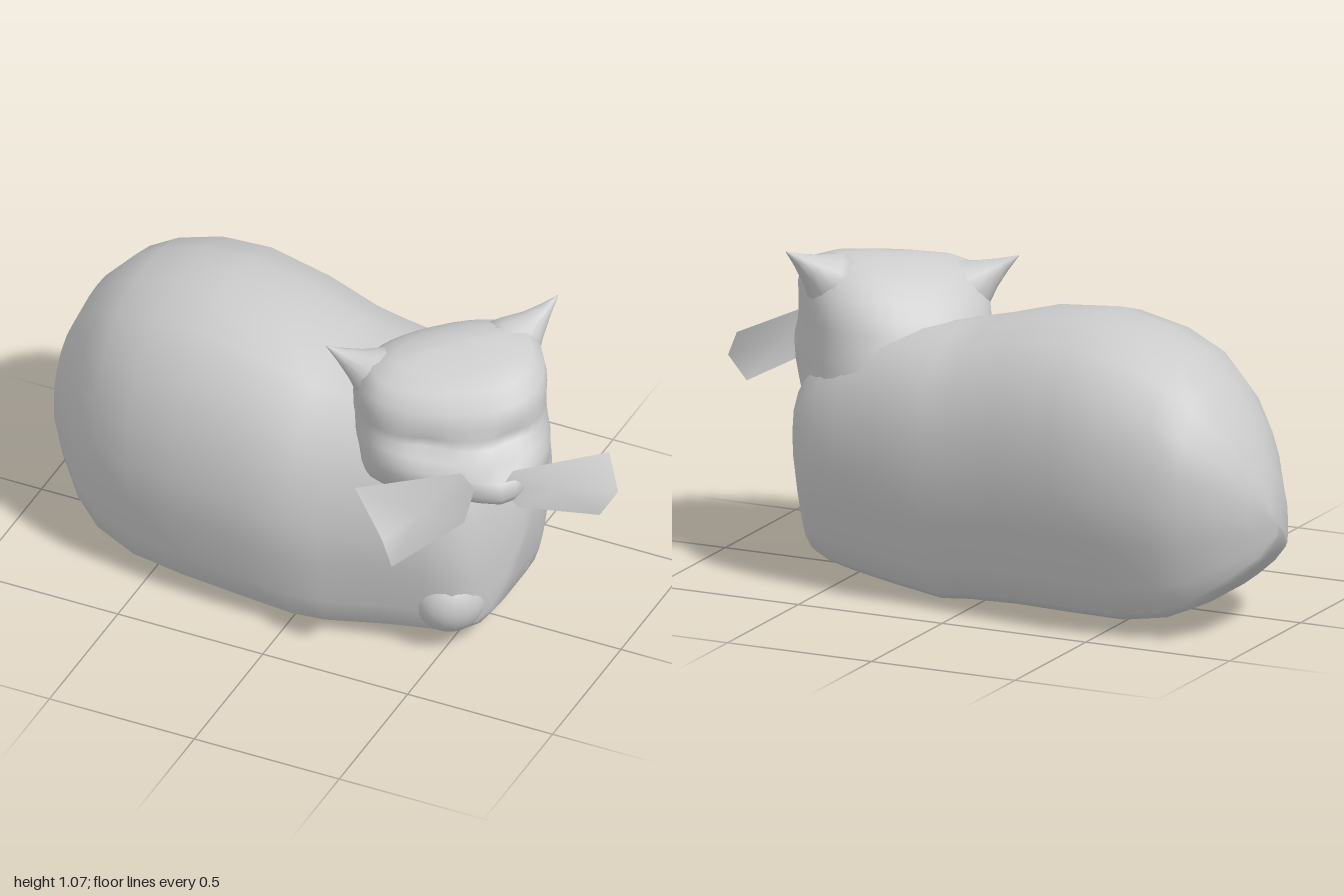
import * as THREE from 'three';

const material = new THREE.MeshStandardMaterial({ color: 0xcccccc });
const thinMaterial = new THREE.MeshStandardMaterial({ color: 0xcccccc, side: THREE.DoubleSide });

// Skin a list of closed rings, cap both ends and turn every face outward
function loft(rings) {
  const n = rings[0].length;
  const points = rings.flat();
  const index = [];
  for (let r = 0; r < rings.length - 1; r++) {
    for (let i = 0; i < n; i++) {
      const a = r * n + i, b = r * n + (i + 1) % n;
      index.push(a, b, a + n, b, b + n, a + n);
    }
  }
  [0, rings.length - 1].forEach((r) => {
    const c = points.length;
    const mid = new THREE.Vector3();
    rings[r].forEach((p) => mid.addScaledVector(p, 1 / n));
    points.push(mid);
    for (let i = 0; i < n; i++) {
      const a = r * n + i, b = r * n + (i + 1) % n;
      if (r === 0) index.push(c, b, a);
      else index.push(c, a, b);
    }
  });
  let volume = 0;
  const cross = new THREE.Vector3();
  for (let i = 0; i < index.length; i += 3) {
    volume += points[index[i]].dot(cross.crossVectors(points[index[i + 1]], points[index[i + 2]]));
  }
  if (volume < 0) index.reverse();
  const geometry = new THREE.BufferGeometry().setFromPoints(points);
  geometry.setIndex(index);
  geometry.computeVertexNormals();
  return geometry;
}

// Head frame: u runs to the model's left, w runs the way the face looks
const toWorld = (u, y, w) => new THREE.Vector3(
  0.365 + 0.77 * u + 0.64 * w, y, -0.04 - 0.64 * u + 0.77 * w);

function addMesh(group, name, geometry, mat = material) {
  const mesh = new THREE.Mesh(geometry, mat);
  mesh.name = name;
  group.add(mesh);
  return mesh;
}

// Loaf-shaped body and chest: sections along x as [x, bottom, top, back z, front z]
function bodyGeometry() {
  const sections = [
    [-1, 0.32, 0.43, -0.2, -0.14], [-0.97, 0.25, 0.54, -0.3, -0.03],
    [-0.9, 0.18, 0.69, -0.4, 0.08], [-0.8, 0.1, 0.8, -0.48, 0.2],
    [-0.7, 0.055, 0.87, -0.5, 0.28], [-0.55, 0.03, 0.925, -0.52, 0.345],
    [-0.37, 0.025, 0.955, -0.5, 0.375], [-0.15, 0.02, 0.93, -0.465, 0.39],
    [0.02, 0.01, 0.88, -0.44, 0.39], [0.12, 0, 0.86, -0.43, 0.36],
    [0.3, 0.02, 0.85, -0.39, 0.315], [0.45, 0.04, 0.81, -0.36, 0.295],
    [0.54, 0.055, 0.76, -0.33, 0.27], [0.59, 0.075, 0.71, -0.305, 0.22],
    [0.62, 0.11, 0.67, -0.28, 0.16], [0.65, 0.2, 0.62, -0.23, 0.09],
    [0.675, 0.33, 0.54, -0.14, 0.02],
  ];
  // Half outline from the belly to the spine: [width, height], both 0..1
  const half = [[0.35, 0], [0.65, 0.01], [0.79, 0.05], [0.87, 0.15], [0.96, 0.33], [1, 0.48],
    [0.95, 0.66], [0.82, 0.82], [0.57, 0.94], [0.25, 0.99]];
  const outline = [...half, [0, 1], ...half.map(([a, b]) => [-a, b]).reverse(), [0, 0]];
  // Each section leans back a little toward the spine
  return loft(sections.map(([x, y0, y1, z0, z1]) => outline.map(([a, b]) => new THREE.Vector3(
    x, y0 + b * (y1 - y0), (z0 + z1) / 2 + a * (z1 - z0) / 2 - 0.07 * (b - 0.45)))));
}

// Neck and head: level rings as [y, half width, back w, front w]
function headGeometry() {
  const levels = [
    [0.25, 0.2, -0.15, 0.2], [0.35, 0.25, -0.2, 0.23], [0.48, 0.29, -0.25, 0.24],
    [0.55, 0.305, -0.28, 0.25], [0.59, 0.305, -0.28, 0.29], [0.62, 0.3, -0.27, 0.37],
    [0.66, 0.3, -0.26, 0.42], [0.7, 0.3, -0.25, 0.435], [0.74, 0.3, -0.24, 0.43],
    [0.78, 0.295, -0.22, 0.4], [0.82, 0.295, -0.2, 0.365], [0.86, 0.295, -0.18, 0.355],
    [0.91, 0.295, -0.14, 0.35], [0.96, 0.285, -0.09, 0.33], [0.995, 0.25, -0.04, 0.28],
    [1.017, 0.18, 0.01, 0.22], [1.025, 0.07, 0.06, 0.14],
  ];
  const n = 40;
  return loft(levels.map(([y, hw, w0, w1]) => Array.from({ length: n }, (_, i) => {
    const a = (i / n) * Math.PI * 2;
    const round = (v) => Math.sign(v) * Math.abs(v) ** 0.85;
    const u = hw * round(Math.cos(a));
    let w = (w0 + w1) / 2 + ((w1 - w0) / 2) * round(Math.sin(a));
    if (Math.sin(a) > 0) {
      // Muzzle, eye hollows and a face turned slightly to its right
      w += 0.07 * Math.exp(-(((u - 0.06) / 0.1) ** 2) - ((y - 0.7) / 0.07) ** 2);
      w -= 0.025 * Math.exp(-(((Math.abs(u) - 0.13) / 0.06) ** 2) - ((y - 0.83) / 0.05) ** 2);
      w += 0.2 * u * Math.sin(a);
    }
    // The crown leans to one side and slopes down to the brow
    const crown = Math.min(1, Math.max(0, (y - 0.75) / 0.15));
    return toWorld(u, y + crown * (0.09 * u - 0.2 * Math.max(0, w - 0.1)), w);
  })));
}

// Pointed ear: rings flaring from the tip into a broad base
function earGeometry(side) {
  const base = toWorld(side * 0.17, 0.89 + side * 0.02, 0.08);
  const tip = toWorld(side * 0.373, 1.04 + side * 0.03, -0.005);
  const across = new THREE.Vector3(0.42 * side, -0.83, -0.35 * side);
  const along = new THREE.Vector3(0.64, 0, 0.77);
  const steps = [[0, 0.18], [0.3, 0.125], [0.55, 0.07], [0.78, 0.032], [1, 0.002]];
  return loft(steps.map(([t, r]) => Array.from({ length: 12 }, (_, i) => {
    const a = (i / 12) * Math.PI * 2;
    return base.clone().lerp(tip, t)
      .addScaledVector(across, r * 0.75 * Math.cos(a))
      .addScaledVector(along, r * 0.8 * Math.sin(a));
  })));
}

// Tucked front paw, a soft bulge low on the chest
function pawGeometry() {
  const geometry = new THREE.SphereGeometry(1, 20, 14);
  geometry.scale(0.12, 0.12, 0.13);
  return geometry;
}

// Flat whisker card, filled as a fan around its middle
function whiskerGeometry(corners) {
  const points = corners.map((c) => new THREE.Vector3(...c));
  const mid = new THREE.Vector3();
  points.forEach((p) => mid.addScaledVector(p, 1 / points.length));
  const index = points.flatMap((_, i) => [0, i + 1, ((i + 1) % points.length) + 1]);
  const geometry = new THREE.BufferGeometry().setFromPoints([mid, ...points]);
  geometry.setIndex(index);
  geometry.computeVertexNormals();
  return geometry;
}

export function createModel() {
  const model = new THREE.Group();
  model.name = 'lyingCat';
  addMesh(model, 'body', bodyGeometry());
  addMesh(model, 'headAndNeck', headGeometry());
  addMesh(model, 'leftEar', earGeometry(1));
  addMesh(model, 'rightEar', earGeometry(-1));
  addMesh(model, 'leftPaw', pawGeometry()).position.set(0.52, 0.18, -0.09);
  addMesh(model, 'rightPaw', pawGeometry()).position.set(0.49, 0.17, 0.165);
  addMesh(model, 'leftWhiskers', whiskerGeometry([
    [0.94, 0.715, -0.04], [0.75, 0.78, 0.26], [0.72, 0.72, 0.29],
    [0.76, 0.63, 0.24], [0.95, 0.535, 0.05], [1, 0.62, 0.02]]), thinMaterial);
  addMesh(model, 'rightWhiskers', whiskerGeometry([
    [0.29, 0.69, 0.44], [0.42, 0.585, 0.52], [0.44, 0.465, 0.49],
    [0.63, 0.61, 0.36], [0.66, 0.74, 0.35], [0.61, 0.78, 0.34]]), thinMaterial);
  return model;
}
